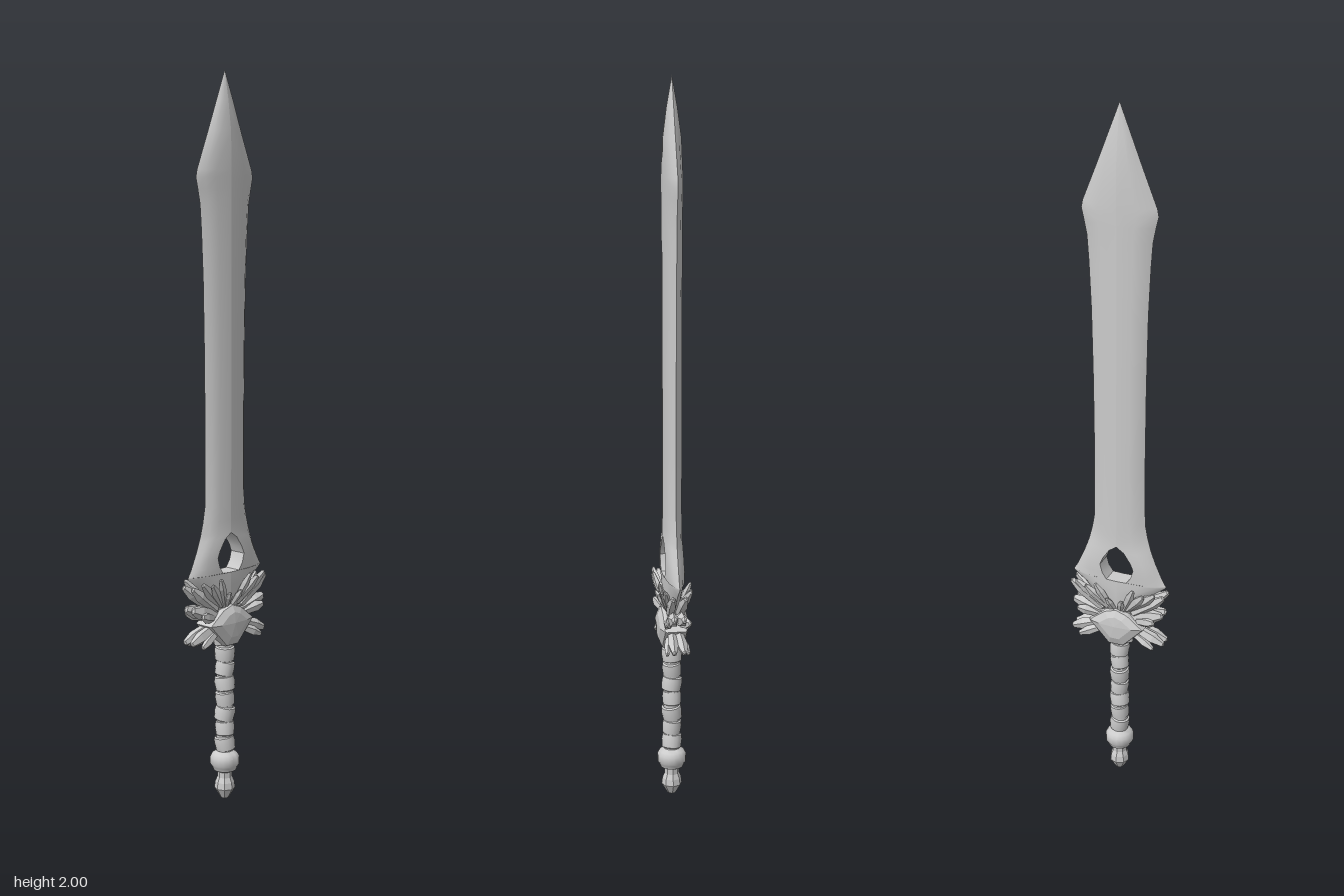
import * as THREE from 'three';
import { toCreasedNormals } from 'three/addons/utils/BufferGeometryUtils.js';

const smooth = new THREE.MeshStandardMaterial({ color: 0xcccccc, side: THREE.DoubleSide });
const faceted = new THREE.MeshStandardMaterial({ color: 0xcccccc, flatShading: true, side: THREE.DoubleSide });

function addMesh(parent, name, geometry, material) {
  const mesh = new THREE.Mesh(geometry, material);
  mesh.name = name;
  parent.add(mesh);
  return mesh;
}

// Joins equal-length loops of [x, y, z] points into a skin
function loft(rows, flip) {
  const n = rows[0].length, index = [];
  for (let j = 0; j < rows.length - 1; j++) {
    for (let k = 0; k < n; k++) {
      const a = j * n + k, b = j * n + (k + 1) % n, c = b + n, d = a + n;
      index.push(...(flip ? [a, c, b, a, d, c] : [a, b, c, a, c, d]));
    }
  }
  const geo = new THREE.BufferGeometry();
  geo.setAttribute('position', new THREE.Float32BufferAttribute(rows.flat(2), 3));
  geo.setIndex(index);
  return geo;
}

// One half of the blade; each row is [height, inner edge, outer edge, half thickness]
function halfBlade(side) {
  const stations = [
    [0.555, 0, 0.03, 0.02], [0.59, 0, 0.075, 0.023], [0.62, 0, 0.1, 0.025],
    [0.65, 0, 0.138, 0.025], [0.655, 0, 0.14, 0.025], [0.656, 0.03, 0.139, 0.025],
    [0.675, 0.043, 0.128, 0.025], [0.7, 0.05, 0.117, 0.025], [0.72, 0.042, 0.108, 0.025],
    [0.75, 0.022, 0.097, 0.025], [0.765, 0, 0.092, 0.025], [0.8, 0, 0.083, 0.025],
    [0.84, 0, 0.076, 0.025], [1.0, 0, 0.074, 0.025], [1.25, 0, 0.076, 0.025],
    [1.45, 0, 0.08, 0.025], [1.58, 0, 0.086, 0.025], [1.65, 0, 0.091, 0.025],
    [1.69, 0, 0.099, 0.025], [1.72, 0, 0.106, 0.025], [1.74, 0, 0.102, 0.025],
    [1.84, 0, 0.062, 0.024], [1.92, 0, 0.031, 0.014], [2.0, 0, 0, 0],
  ];
  // Cross-section: fraction across the half, fraction of thickness
  const section = [[1, 0], [0.8, 0.5], [0.5, 0.86], [0, 1], [0, -1], [0.5, -0.86], [0.8, -0.5]];
  const rows = stations.map(([y, inner, outer, t]) =>
    section.map(([f, h]) => [h * t, y, side * (inner + (outer - inner) * f)]));
  return toCreasedNormals(loft(rows, side < 0), 0.6);
}

// Faceted crystal from one point to another
function crystal(parent, name, from, to, width, depth) {
  const a = new THREE.Vector3(...from), b = new THREE.Vector3(...to);
  const dir = b.clone().sub(a), len = dir.length();
  const profile = [[0, 0], [0.7, 0.06], [1, 0.68], [0.5, 0.96], [0, 1]]
    .map(([r, h]) => new THREE.Vector2(r, h * len));
  const mesh = addMesh(parent, name, new THREE.LatheGeometry(profile, 5), faceted);
  const up = dir.normalize();
  const flat = new THREE.Vector3(1, 0, 0).addScaledVector(up, -up.x).normalize();
  const wide = new THREE.Vector3().crossVectors(flat, up);
  mesh.quaternion.setFromRotationMatrix(new THREE.Matrix4().makeBasis(flat, up, wide));
  mesh.scale.set(depth, 1, width);
  mesh.position.copy(a);
}

function createModel() {
  const model = new THREE.Group();

  const blade = new THREE.Group();
  blade.name = 'blade';
  model.add(blade);
  for (const side of [1, -1]) addMesh(blade, side > 0 ? 'bladeFrontHalf' : 'bladeBackHalf', halfBlade(side), smooth);

  // Guard: solid core, faceted centre plates and crystal clusters
  const guard = new THREE.Group();
  guard.name = 'guard';
  model.add(guard);
  const core = addMesh(guard, 'guardCore', new THREE.CylinderGeometry(0.06, 0.04, 0.17, 8), faceted);
  core.scale.x = 0.4;
  core.position.y = 0.535;

  const outline = [[0, 0.565], [0.035, 0.553], [0.083, 0.515], [0.05, 0.48], [0.022, 0.45],
    [-0.022, 0.45], [-0.05, 0.48], [-0.083, 0.515], [-0.035, 0.553]];
  const plate = loft([[1, -0.026], [0.97, -0.03], [0.6, -0.04], [0, -0.043]].map(([s, x]) =>
    outline.map(([z, y]) => [-x, 0.515 + (y - 0.515) * s, z * s])), true);
  for (const side of [1, -1]) {
    const mesh = addMesh(guard, 'centrePlate', plate, faceted);
    if (side < 0) mesh.rotation.y = Math.PI;
  }
  const rim = loft([-0.026, 0.026].map(x => outline.map(([z, y]) => [x, y, z])), false);
  addMesh(guard, 'plateRim', rim, faceted);

  // Each shard: start x y z, end x y z, half width, half depth
  const shards = [
    [0.012, 0.55, 0.04, 0.018, 0.63, 0.142, 0.017, 0.014],
    [0.012, 0.56, 0.03, 0.036, 0.642, 0.12, 0.015, 0.01],
    [0.015, 0.56, 0.025, 0.042, 0.635, 0.088, 0.014, 0.009],
    [0.015, 0.555, 0.015, 0.044, 0.648, 0.058, 0.013, 0.009],
    [0.015, 0.555, 0.008, 0.043, 0.605, 0.022, 0.011, 0.008],
    [0.008, 0.535, 0.03, 0.014, 0.568, 0.138, 0.021, 0.016],
    [0.012, 0.53, 0.05, 0.034, 0.55, 0.118, 0.016, 0.011],
    [0.008, 0.515, 0.03, 0.014, 0.472, 0.142, 0.018, 0.015],
    [0.012, 0.5, 0.03, 0.03, 0.46, 0.115, 0.014, 0.011],
  ];
  for (const sx of [1, -1]) {
    for (const sz of [1, -1]) {
      for (const [x0, y0, z0, x1, y1, z1, w, d] of shards) {
        crystal(guard, 'guardCrystal', [sx * x0, y0, sz * z0], [sx * x1, y1, sz * z1], w, d);
      }
    }
  }

  // Grip: a core with slightly tilted, overlapping wraps
  const grip = new THREE.Group();
  grip.name = 'grip';
  model.add(grip);
  addMesh(grip, 'gripCore', new THREE.CylinderGeometry(0.023, 0.023, 0.36, 16), smooth).position.y = 0.29;
  const wrapProfile = [[0.022, -0.021], [0.027, -0.018], [0.029, 0.004], [0.027, 0.018], [0.022, 0.021]]
    .map(([r, y]) => new THREE.Vector2(r, y));
  const wrap = toCreasedNormals(new THREE.LatheGeometry(wrapProfile, 16), 0.7);
  for (let i = 0; i < 7; i++) {
    const mesh = addMesh(grip, 'gripWrap', wrap, smooth);
    mesh.position.y = 0.165 + i * 0.043;
    mesh.rotation.set(0.14 * Math.cos(i * 1.9), 0, 0.14 * Math.sin(i * 1.9 + 0.6));
    const s = 1 - 0.06 * (i % 2);
    mesh.scale.set(s, 1, s);
  }

  // Pommel: rounded collar and pointed faceted tip
  const pommel = new THREE.Group();
  pommel.name = 'pommel';
  model.add(pommel);
  const collar = [[0.02, 0.082], [0.032, 0.088], [0.036, 0.098], [0.041, 0.105], [0.041, 0.125],
    [0.035, 0.135], [0.027, 0.14], [0.02, 0.145]].map(p => new THREE.Vector2(...p));
  addMesh(pommel, 'pommelCollar', toCreasedNormals(new THREE.LatheGeometry(collar, 18), 0.7), smooth);
  const tip = [[0, 0], [0.012, 0.006], [0.029, 0.034], [0.027, 0.052], [0.021, 0.066], [0.021, 0.09]]
    .map(p => new THREE.Vector2(...p));
  addMesh(pommel, 'pommelTip', new THREE.LatheGeometry(tip, 8), faceted);

  return model;
}

export { createModel };
